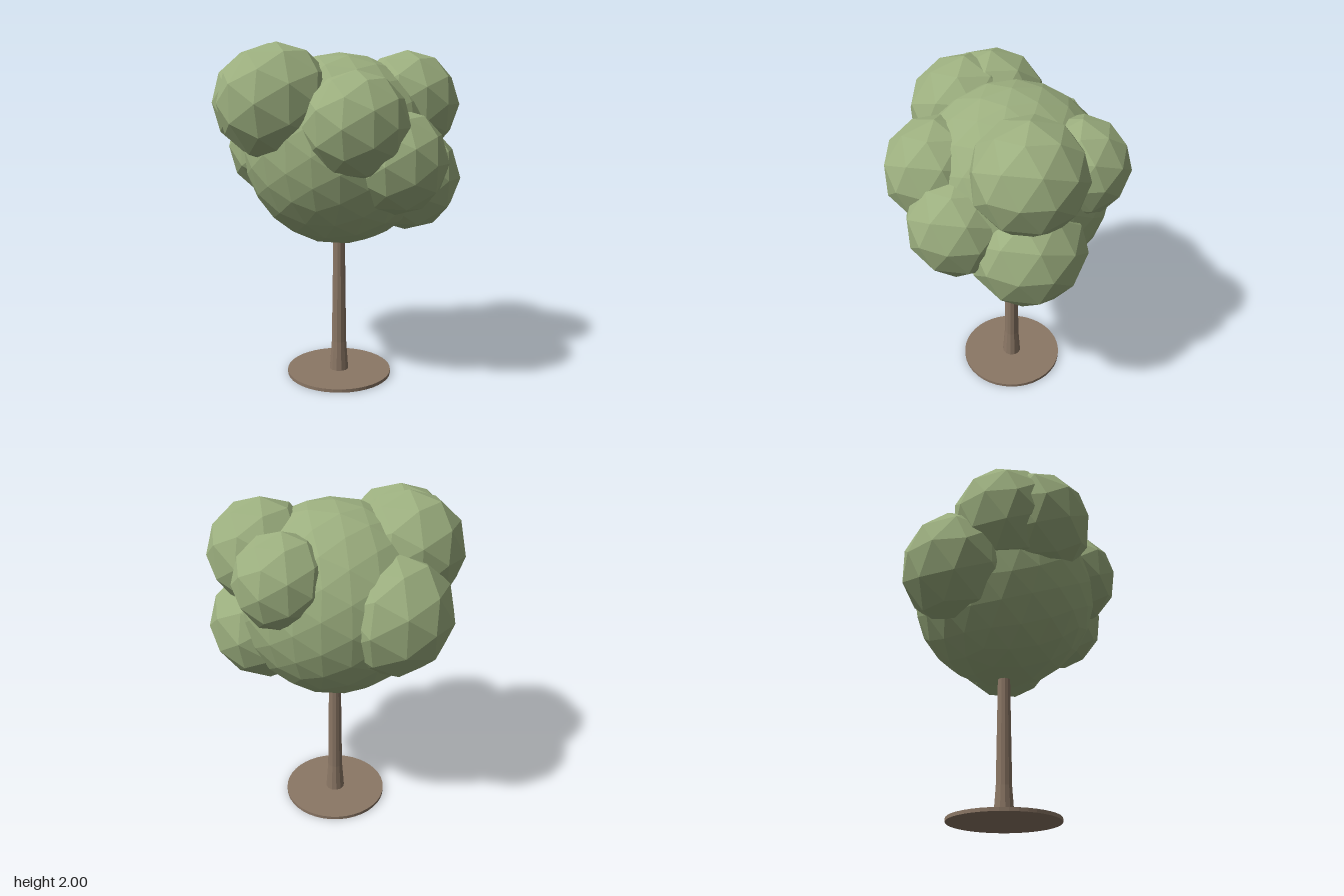
import * as THREE from 'three';

export function createModel() {
  const tree = new THREE.Group();
  tree.name = 'tree';
  const leafGreen = new THREE.MeshStandardMaterial({ color: 0x9caf7f, flatShading: true });
  leafGreen.name = 'leaf green';
  const barkBrown = new THREE.MeshStandardMaterial({ color: 0x8b7765, flatShading: true });
  barkBrown.name = 'bark brown';

  const CX = 0.013, CZ = -0.01; // trunk axis

  function add(name, geometry, material, x, y, z) {
    const mesh = new THREE.Mesh(geometry, material);
    mesh.name = name;
    mesh.position.set(x, y, z);
    tree.add(mesh);
  }

  // Thin round base
  add('base', new THREE.CylinderGeometry(0.32, 0.32, 0.02, 40), barkBrown, CX, 0.01, CZ);

  // Trunk flaring towards the ground
  const trunkProfile = [[0, 0.01], [0.06, 0.01], [0.046, 0.2], [0.036, 0.9], [0, 0.9]]
    .map(([r, y]) => new THREE.Vector2(r, y));
  add('trunk', new THREE.LatheGeometry(trunkProfile, 12), barkBrown, CX, 0, CZ);

  // Large central crown
  add('crown', new THREE.IcosahedronGeometry(0.56, 3), leafGreen, CX, 1.39, CZ);

  // Smaller leaf clumps around the crown: name, x, y, z, radius
  const clumps = [
    ['frontUpperClump', -0.26, 1.66, 0.30, 0.333],
    ['rightUpperClump', -0.35, 1.665, 0.165, 0.332],
    ['rightBackClump', -0.37, 1.40, -0.13, 0.347],
    ['frontLeftClump', 0.205, 1.54, 0.36, 0.297],
    ['leftFrontClump', 0.39, 1.345, 0.205, 0.295],
    ['leftLowerClump', 0.39, 1.225, -0.155, 0.325],
    ['leftUpperClump', 0.385, 1.655, -0.155, 0.31],
    ['backClump', 0.145, 1.60, -0.39, 0.27],
  ];
  for (const [name, x, y, z, r] of clumps) {
    add(name, new THREE.IcosahedronGeometry(r, 1), leafGreen, x, y, z);
  }
  return tree;
}
